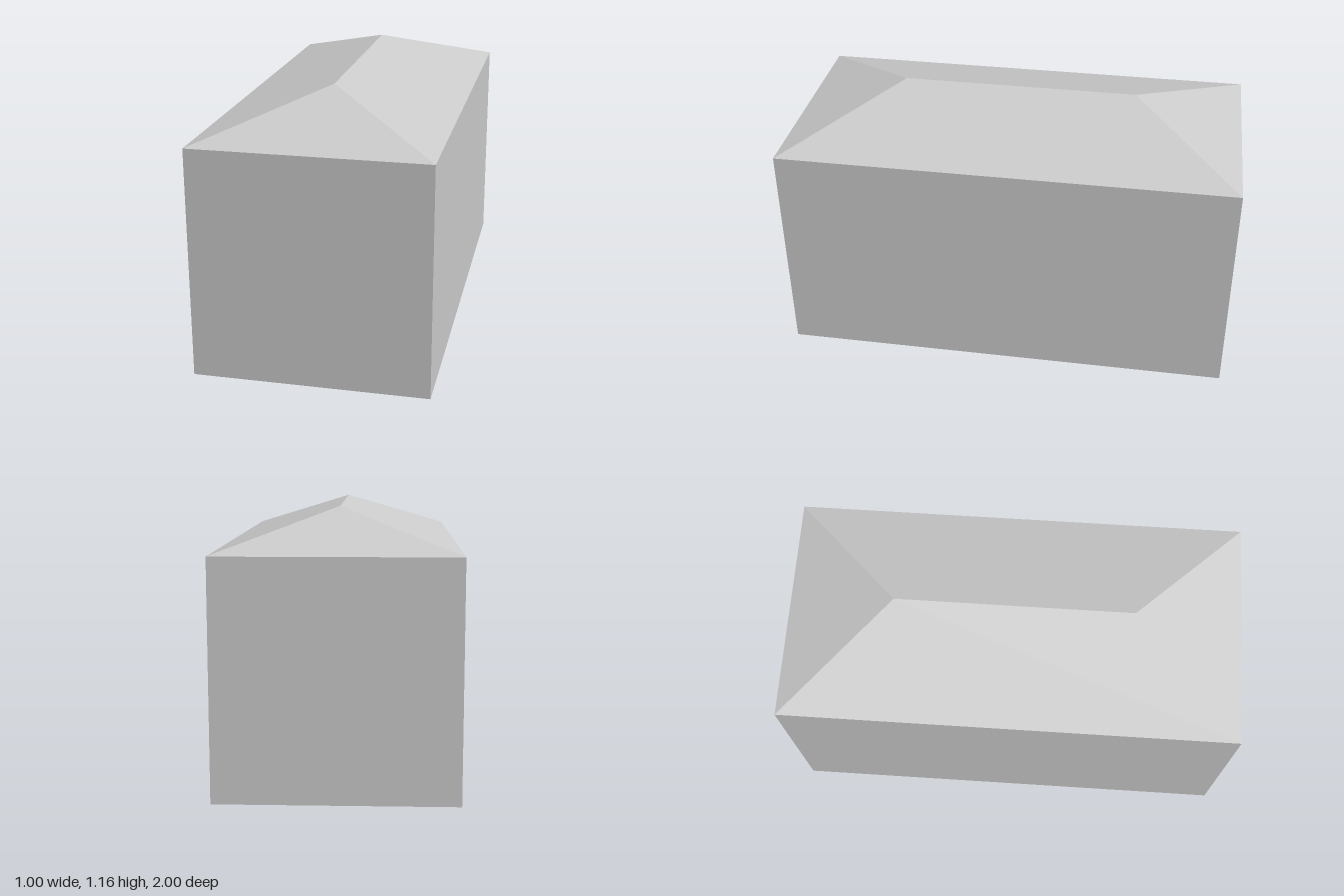
import * as THREE from 'three';
import { ConvexGeometry } from 'three/addons/geometries/ConvexGeometry.js';

const HALF_W = 0.5, HALF_L = 1, WALL = 0.99, TOP = 1.16, HALF_RIDGE = 0.52;

export function createModel() {
  const group = new THREE.Group();
  group.name = 'hippedHouse';
  const material = new THREE.MeshStandardMaterial({ color: 0xcccccc, flatShading: true });

  // Plain rectangular walls
  const walls = new THREE.Mesh(new THREE.BoxGeometry(HALF_W * 2, WALL, HALF_L * 2), material);
  walls.name = 'walls';
  walls.position.y = WALL / 2;
  group.add(walls);

  // Hipped roof: four eave corners and the two ends of the ridge
  const points = [];
  for (const s of [-1, 1]) {
    points.push(
      new THREE.Vector3(-HALF_W, WALL, s * HALF_L),
      new THREE.Vector3(HALF_W, WALL, s * HALF_L),
      new THREE.Vector3(0, TOP, s * HALF_RIDGE)
    );
  }
  const roof = new THREE.Mesh(new ConvexGeometry(points), material);
  roof.name = 'roof';
  group.add(roof);

  return group;
}
